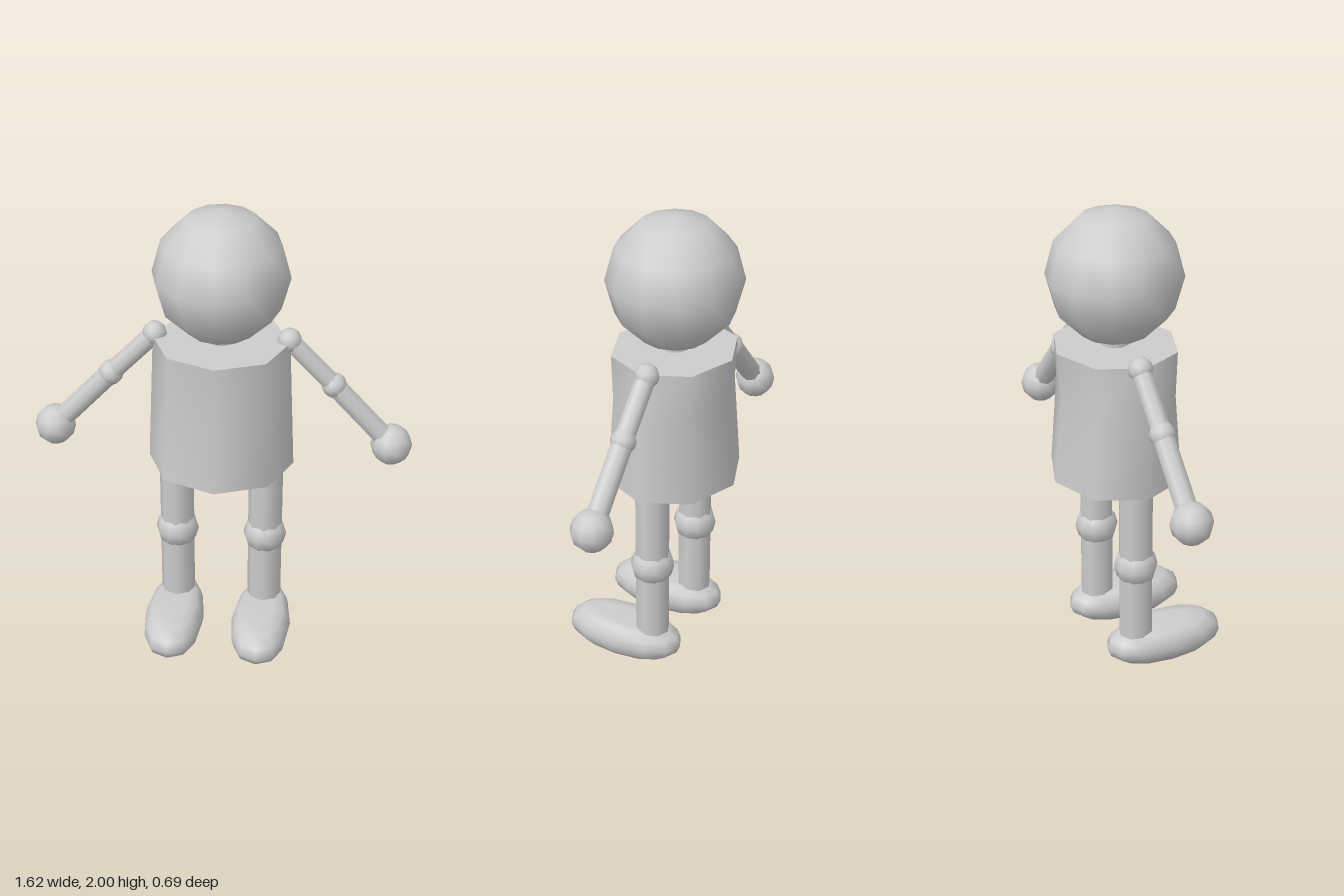
import * as THREE from 'three';
import { mergeVertices, toCreasedNormals } from 'three/addons/utils/BufferGeometryUtils.js';

const clay = new THREE.MeshStandardMaterial({ color: 0xcccccc });
clay.name = 'clay grey';

function add(parent, name, geometry, position = [0, 0, 0]) {
  const mesh = new THREE.Mesh(geometry, clay);
  mesh.name = name;
  mesh.position.set(...position);
  parent.add(mesh);
  return mesh;
}

// Low-poly ball
const ball = (r, sides = 10, rows = 6) => new THREE.SphereGeometry(r, sides, rows);

// Straight limb segment between two points
function limb(parent, name, a, b, ra, rb) {
  const from = new THREE.Vector3(...a), to = new THREE.Vector3(...b);
  const dir = to.clone().sub(from);
  const mesh = add(parent, name, new THREE.CylinderGeometry(rb, ra, dir.length(), 8));
  mesh.position.copy(from).add(to).multiplyScalar(0.5);
  mesh.quaternion.setFromUnitVectors(new THREE.Vector3(0, 1, 0), dir.normalize());
}

// Eight-sided torso: each ring has its own height, width and depth
function torsoGeometry() {
  const rings = [[0.84, 0.31, 0.28], [1.23, 0.293, 0.245], [1.42, 0.285, 0.26]];
  const g = new THREE.CylinderGeometry(1, 1, 2, 8, 2);
  const p = g.attributes.position;
  for (let i = 0; i < p.count; i++) {
    const [y, rx, rz] = rings[Math.round(p.getY(i)) + 1];
    p.setXYZ(i, p.getX(i) * rx, y, p.getZ(i) * rz);
  }
  return toCreasedNormals(g, 1);
}

// Long rounded shoe with a flat sole, lower and narrower at the heel
function footGeometry() {
  const g = new THREE.SphereGeometry(1, 12, 8);
  g.deleteAttribute('uv');
  g.deleteAttribute('normal');
  const p = g.attributes.position;
  const puff = (v, e) => Math.sign(v) * Math.pow(Math.abs(v), e);
  for (let i = 0; i < p.count; i++) {
    const z = p.getZ(i);
    const heel = Math.max(0, -z);
    const x = puff(p.getX(i), 0.85) * 0.13 * (1 - 0.12 * heel);
    const y = THREE.MathUtils.clamp(p.getY(i) * 0.1, -0.072, 0.075 - 0.02 * heel);
    p.setXYZ(i, x, y, puff(z, 0.85) * 0.27);
  }
  const merged = mergeVertices(g, 1e-4);
  merged.computeVertexNormals();
  return merged;
}

export function createModel() {
  const model = new THREE.Group();
  model.name = 'figure';

  add(model, 'head', ball(0.283, 12, 6), [0, 1.717, -0.06]);
  add(model, 'neck', new THREE.CylinderGeometry(0.06, 0.06, 0.1, 8), [0, 1.44, -0.06]);
  add(model, 'torso', torsoGeometry(), [0, 0, -0.06]);

  for (const [side, s] of [['left', 1], ['right', -1]]) {
    // Arm
    const arm = new THREE.Group();
    arm.name = side + 'Arm';
    const shoulder = [s * 0.28, 1.42, -0.085];
    const elbow = [s * 0.47, 1.22, -0.085];
    const hand = [s * 0.72, 0.948, -0.085];
    add(arm, 'shoulder', ball(0.052), shoulder);
    limb(arm, 'upperArm', shoulder, elbow, 0.042, 0.042);
    add(arm, 'elbow', ball(0.054), elbow);
    limb(arm, 'forearm', elbow, hand, 0.046, 0.046);
    add(arm, 'hand', ball(0.088), hand);
    model.add(arm);

    // Leg
    const leg = new THREE.Group();
    leg.name = side + 'Leg';
    leg.position.set(s * 0.193, 0, -0.06);
    limb(leg, 'shin', [0, 0.1, 0], [0, 0.47, 0], 0.074, 0.074);
    add(leg, 'knee', ball(0.094), [0, 0.47, 0]);
    limb(leg, 'thigh', [0, 0.47, 0], [0, 0.86, 0], 0.074, 0.074);
    add(leg, 'foot', footGeometry(), [0, 0.08, 0.135]);
    leg.children[3].position.y = 0.076;
    model.add(leg);
  }
  return model;
}
